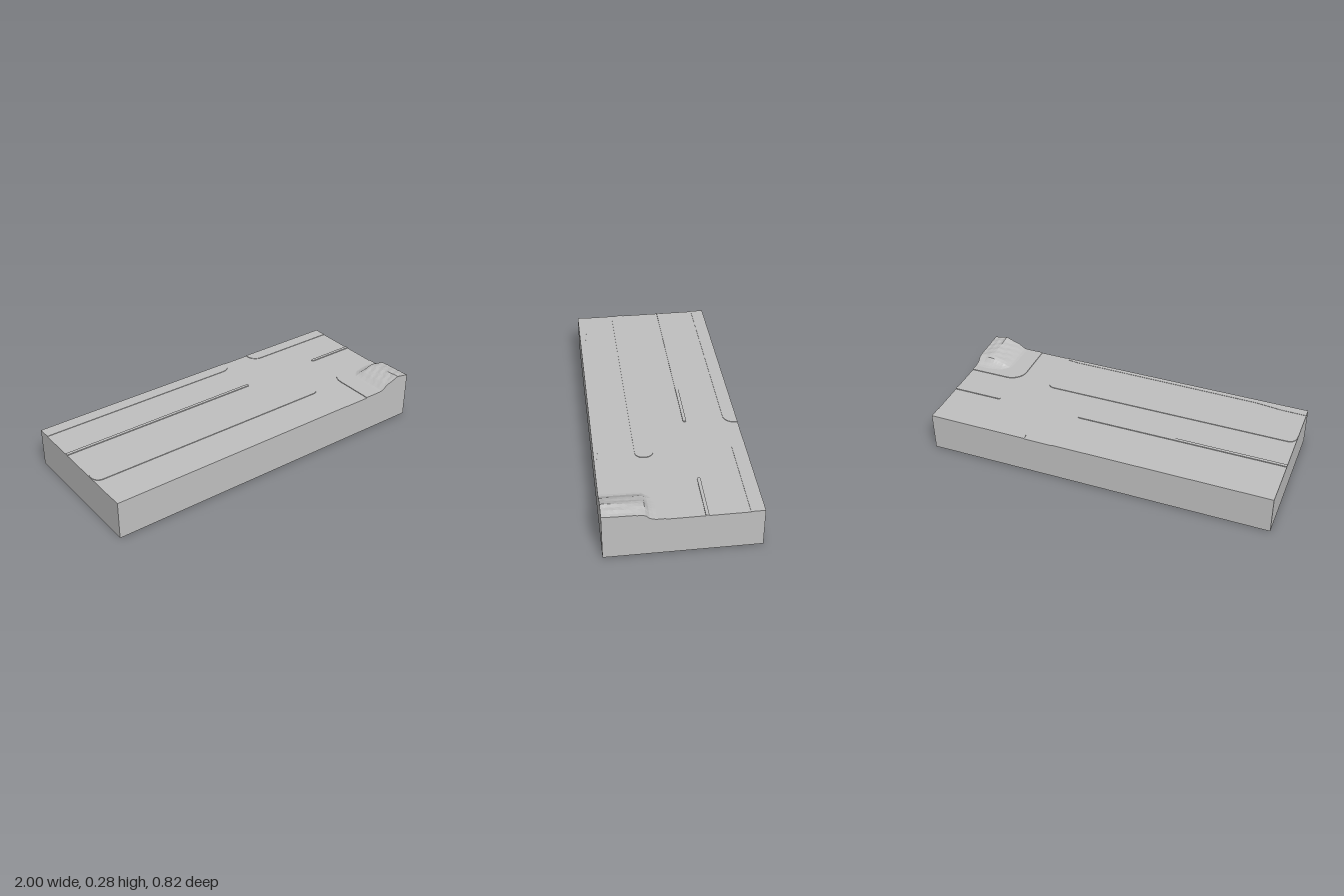
import * as THREE from 'three';

// Piecewise linear lookup through [position, value] pairs
function profile(points, t) {
  if (t <= points[0][0]) return points[0][1];
  for (let i = 1; i < points.length; i++) {
    const [a, va] = points[i - 1], [b, vb] = points[i];
    if (t <= b) return va + (vb - va) * (t - a) / (b - a);
  }
  return points[points.length - 1][1];
}

const MOUND_X = [[0.7, 0], [0.78, 0.004], [0.81, 0.008], [0.83, 0.03], [0.87, 0.042], [0.92, 0.061], [0.96, 0.054], [1, 0.046]];
const MOUND_Z = [[0.1, 0], [0.13, 0.06], [0.165, 0.2], [0.195, 0.8], [0.3, 0.88], [0.41, 1]];

// The road rises very gently towards +x
const roadHeight = x => 0.2195 + 0.0025 * x;

// Rubble mound in the front corner, with small repeatable bumps
function groundHeight(x, z) {
  const lift = profile(MOUND_X, x) * profile(MOUND_Z, z);
  const bump = Math.sin(x * 91 + z * 57) * Math.sin(z * 73 - x * 39);
  return roadHeight(x) + lift * (1 + 0.06 * bump * (z < 0.4 ? 1 : 0));
}

// Rectangle outline seen from above; radii in order back-left, back-right, front-right, front-left
function pavingShape(x0, x1, z0, z1, [bl, br, fr, fl]) {
  const s = new THREE.Shape();
  const top = -z0, low = -z1; // shape y is -z
  s.moveTo(x0 + fl, low);
  s.lineTo(x1 - fr, low);
  if (fr) s.absarc(x1 - fr, low + fr, fr, -Math.PI / 2, 0, false);
  s.lineTo(x1, top - br);
  if (br) s.absarc(x1 - br, top - br, br, 0, Math.PI / 2, false);
  s.lineTo(x0 + bl, top);
  if (bl) s.absarc(x0 + bl, top - bl, bl, Math.PI / 2, Math.PI, false);
  s.lineTo(x0, low + fl);
  if (fl) s.absarc(x0 + fl, low + fl, fl, Math.PI, Math.PI * 1.5, false);
  return s;
}

export function createModel() {
  const group = new THREE.Group();
  const stone = new THREE.MeshStandardMaterial({ color: 0xc0c0c0, flatShading: true });
  stone.name = 'light grey stone';

  const add = (name, geometry) => {
    const mesh = new THREE.Mesh(geometry, stone);
    mesh.name = name;
    group.add(mesh);
  };

  // Ground slab: a box whose top vertices follow the terrain
  const slab = new THREE.BoxGeometry(2, 1, 0.82, 100, 1, 41);
  const p = slab.attributes.position;
  for (let i = 0; i < p.count; i++) {
    p.setY(i, p.getY(i) > 0 ? groundHeight(p.getX(i), p.getZ(i)) : 0);
  }
  slab.computeVertexNormals();
  add('groundSlab', slab);

  // Raised kerbs and pavements resting on the road
  const addPaving = (name, shape, height) => {
    const g = new THREE.ExtrudeGeometry(shape, { depth: height + 0.004, bevelEnabled: false, curveSegments: 8 });
    g.rotateX(-Math.PI / 2);
    const q = g.attributes.position;
    for (let i = 0; i < q.count; i++) q.setY(i, q.getY(i) - 0.004 + roadHeight(q.getX(i)));
    g.computeVertexNormals();
    add(name, g);
  };

  addPaving('wideMedian', pavingShape(-0.998, 0.505, 0.09, 0.19, [0.045, 0.045, 0.045, 0.045]), 0.004);
  addPaving('narrowMedianRight', pavingShape(-1, 0.215, -0.126, -0.108, [0, 0.008, 0.008, 0]), 0.005);
  addPaving('narrowMedianLeft', pavingShape(0.71, 1, -0.126, -0.108, [0.008, 0, 0, 0.008]), 0.005);
  addPaving('backPavementRight', pavingShape(-1, 0.25, -0.41, -0.335, [0, 0, 0.06, 0]), 0.003);
  addPaving('backPavementLeft', pavingShape(0.42, 1, -0.41, -0.335, [0, 0, 0, 0.06]), 0.003);
  addPaving('cornerPavement', pavingShape(0.68, 1, 0.09, 0.41, [0.09, 0, 0, 0]), 0.004);

  // Front pavement tapers towards the junction
  const front = new THREE.Shape([[-1, -0.41], [0.52, -0.41], [0.5, -0.395], [0.43, -0.386], [0.25, -0.386], [-0.7, -0.378], [-0.85, -0.362], [-1, -0.36]]
    .map(([x, y]) => new THREE.Vector2(x, y)));
  addPaving('frontPavement', front, 0.002);

  return group;
}
